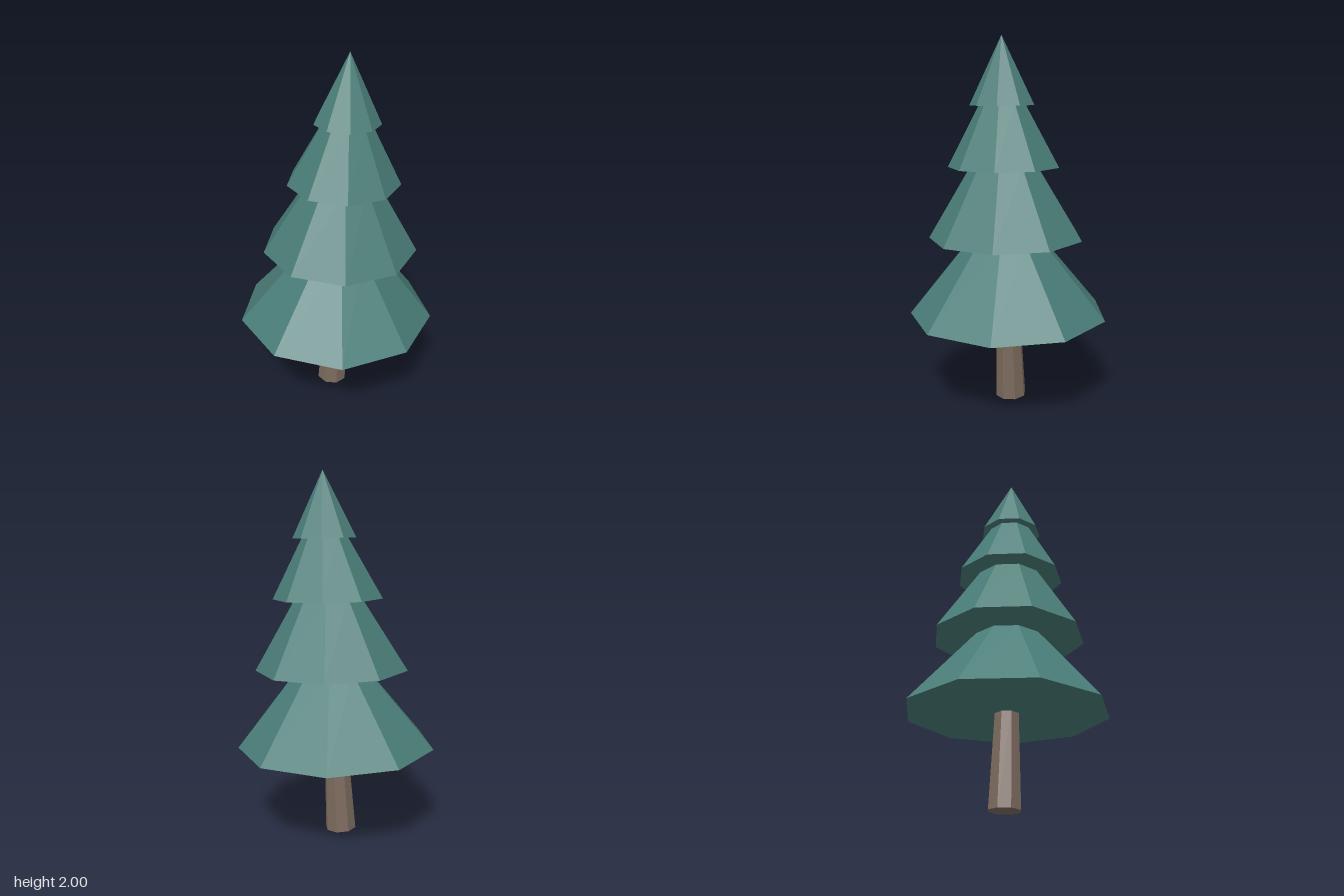
import * as THREE from 'three';

const foliage = new THREE.MeshStandardMaterial({ color: 0x4a7d78, flatShading: true });
const bark = new THREE.MeshStandardMaterial({ color: 0x7d6b5e, flatShading: true });

// Leaning frustum between two rings [centreX, centreY, radius], one corner pointing to -x.
// tilt lowers the +x side of both rings.
function leaningFrustum(name, bottom, top, sides, tilt, material) {
  const geometry = new THREE.CylinderGeometry(top[2], bottom[2], 1, sides, 1, false, -Math.PI / 2);
  const p = geometry.attributes.position;
  for (let i = 0; i < p.count; i++) {
    const ring = p.getY(i) > 0 ? top : bottom;
    const x = p.getX(i);
    p.setXYZ(i, ring[0] + x, ring[1] - tilt * x, p.getZ(i));
  }
  geometry.computeVertexNormals();
  const mesh = new THREE.Mesh(geometry, material);
  mesh.name = name;
  return mesh;
}

export function createModel() {
  const tree = new THREE.Group();
  tree.name = 'pineTree';

  // Trunk
  tree.add(leaningFrustum('trunk', [-0.012, 0.005, 0.087], [0.016, 0.51, 0.067], 8, 0.05, bark));

  // Branch tiers, from the lowest to the pointed tip
  const tiers = [
    [[0.014, 0.502, 0.548], [0.035, 0.945, 0.185]],
    [[0.037, 0.936, 0.422], [0.055, 1.335, 0.178]],
    [[0.058, 1.324, 0.302], [0.075, 1.655, 0.122]],
    [[0.077, 1.646, 0.174], [0.088, 2.0, 0]],
  ];
  tiers.forEach(([bottom, top], i) => {
    tree.add(leaningFrustum(`branchTier${i + 1}`, bottom, top, 9, 0.016, foliage));
  });

  return tree;
}
